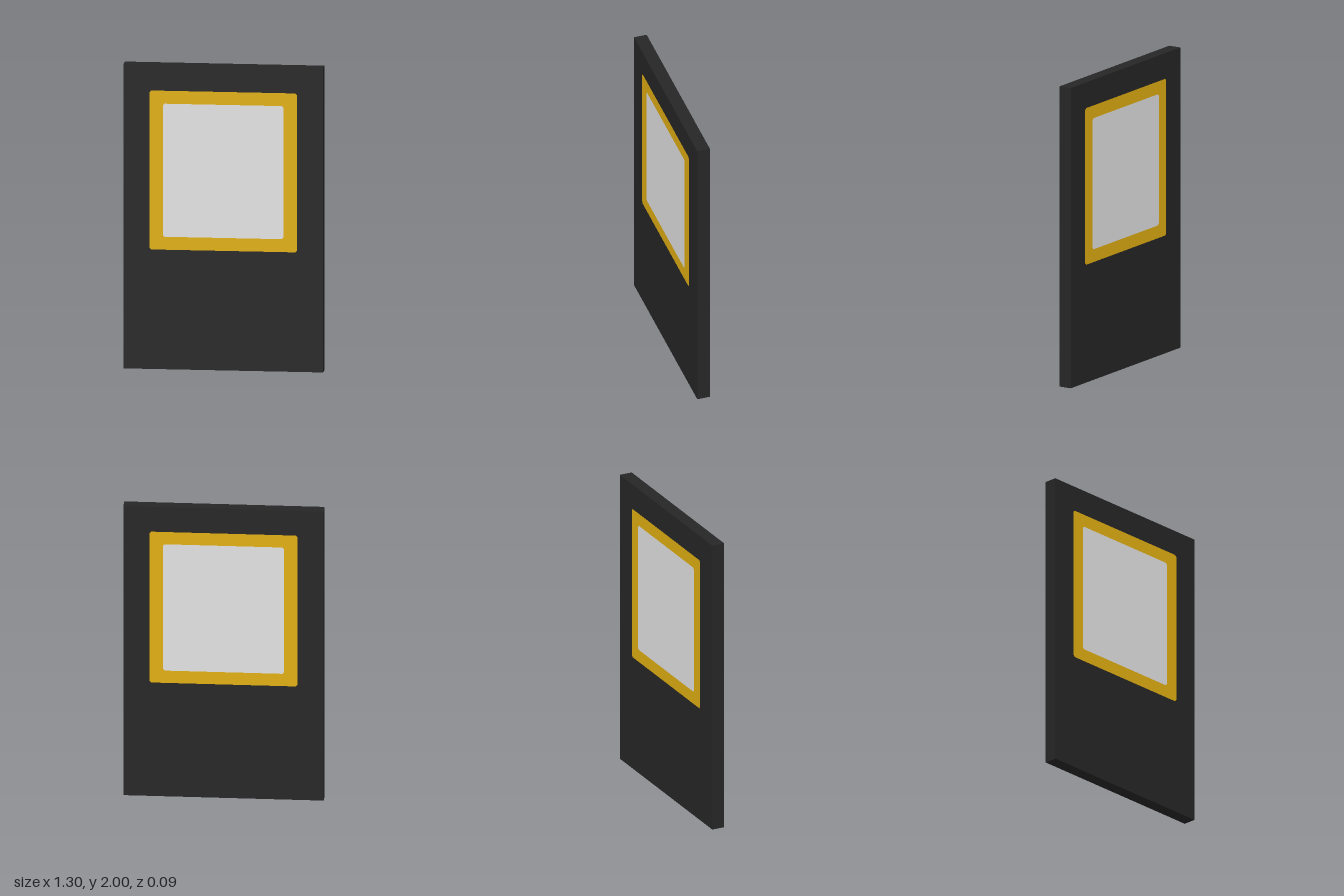
import * as THREE from 'three';

const WIDTH = 1.3, HEIGHT = 2, DEPTH = 0.086;
const WINDOW_Y = 1.307;

// Rectangle with slightly clipped corners, centred on the origin
function clippedRect(w, h, c, Type = THREE.Shape) {
  const x = w / 2, y = h / 2;
  return new Type([
    [-x + c, -y], [x - c, -y], [x, -y + c], [x, y - c],
    [x - c, y], [-x + c, y], [-x, y - c], [-x, -y + c],
  ].map(([px, py]) => new THREE.Vector2(px, py)));
}

export function createModel() {
  const charcoal = new THREE.MeshStandardMaterial({ name: 'charcoal', color: 0x262626 });
  const amber = new THREE.MeshStandardMaterial({ name: 'amber', color: 0xe0ae12 });
  const paleGrey = new THREE.MeshStandardMaterial({ name: 'paleGrey', color: 0xe2e2e2 });

  const group = new THREE.Group();
  group.name = 'door';

  // Door slab
  const slab = new THREE.Mesh(new THREE.BoxGeometry(WIDTH, HEIGHT, DEPTH), charcoal);
  slab.name = 'slab';
  slab.position.y = HEIGHT / 2;
  group.add(slab);

  // Window frame ring and pane, as thin faces
  const frameShape = clippedRect(0.96, 1.044, 0.012);
  frameShape.holes.push(clippedRect(0.786, 0.874, 0.012, THREE.Path));
  const frameGeometry = new THREE.ShapeGeometry(frameShape);
  const paneGeometry = new THREE.ShapeGeometry(clippedRect(0.786, 0.874, 0.012));

  // The same window on both sides of the door
  for (const side of ['front', 'back']) {
    const window = new THREE.Group();
    window.name = side + 'Window';
    const frame = new THREE.Mesh(frameGeometry, amber);
    frame.name = side + 'WindowFrame';
    const pane = new THREE.Mesh(paneGeometry, paleGrey);
    pane.name = side + 'WindowPane';
    window.add(frame, pane);
    window.position.set(0, WINDOW_Y, (side === 'front' ? 1 : -1) * (DEPTH / 2 + 0.001));
    if (side === 'back') window.rotation.y = Math.PI;
    group.add(window);
  }

  return group;
}
